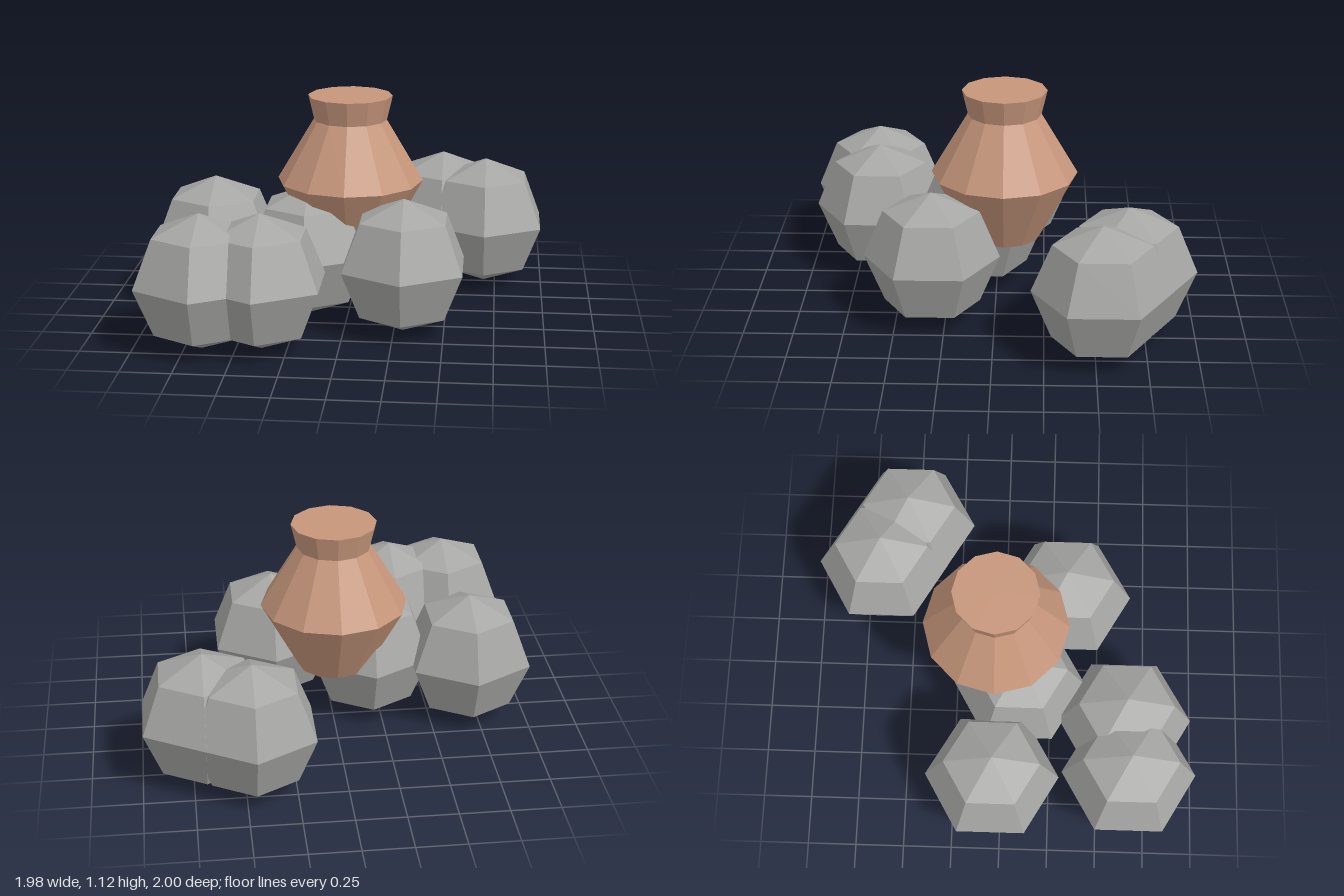
import * as THREE from 'three';

export function createModel() {
  const group = new THREE.Group();
  group.name = 'potAmongRocks';

  const stone = new THREE.MeshStandardMaterial({ color: 0xa6a7a4, flatShading: true });
  stone.name = 'grey stone';
  const clay = new THREE.MeshStandardMaterial({ color: 0xc6967b, flatShading: true });
  clay.name = 'terracotta clay';

  // Ring of faceted boulders, all resting on the ground
  const R = 0.342;
  const rockGeometry = new THREE.SphereGeometry(R, 6, 4).rotateY(Math.PI / 6);
  const rocks = [
    [-0.697, -0.045], [-0.667, 0.653], [-0.377, 0.628], [-0.197, 0.085],
    [0.295, 0.315], [0.458, -0.658], [0.69, -0.525],
  ];
  rocks.forEach(([x, z], i) => {
    const rock = new THREE.Mesh(rockGeometry, stone);
    rock.name = `rock${i + 1}`;
    rock.position.set(x, R, z);
    group.add(rock);
  });

  // Twelve-sided pot with a closed base and flat lid
  const profile = [[0, 0.342], [0.186, 0.342], [0.372, 0.685], [0.186, 0.998], [0.215, 1.122], [0, 1.122]];
  const pot = new THREE.Mesh(
    new THREE.LatheGeometry(profile.map(([r, y]) => new THREE.Vector2(r, y)), 12),
    clay,
  );
  pot.name = 'pot';
  pot.position.z = -0.043;
  group.add(pot);

  return group;
}
